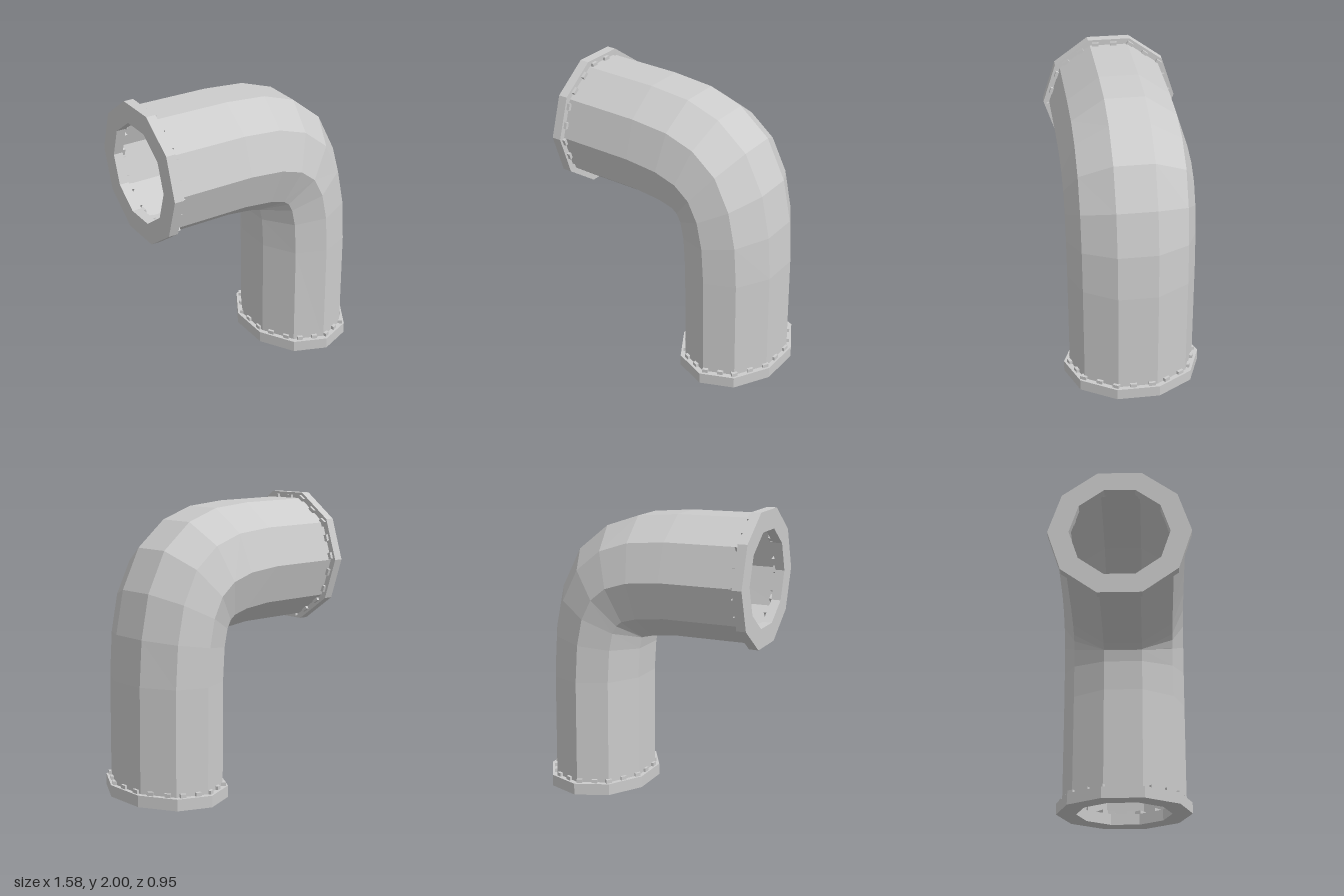
import * as THREE from 'three';

const SIDES = 10;
const PIPE_R = 0.435, FLANGE_R = 0.476, HOLE_R = 0.335;
const FLANGE_H = 0.08, BOLTS = 22;

const metal = new THREE.MeshStandardMaterial({ color: 0xcccccc, flatShading: true });
const sheet = new THREE.MeshStandardMaterial({ color: 0xcccccc, flatShading: true, side: THREE.DoubleSide });

// Corners of a decagon with points on the +y and -y axes of its plane
function decagon(r) {
  return Array.from({ length: SIDES }, (_, k) => {
    const a = Math.PI / 2 + (k * 2 * Math.PI) / SIDES;
    return new THREE.Vector2(r * Math.cos(a), r * Math.sin(a));
  });
}

// Bent pipe: each ring spans an outer and an inner point of the elbow [ox, oy, ix, iy]
function makePipe() {
  const rings = [
    [-0.76, 1.96, -0.76, 1.13],
    [-0.2, 1.955, -0.19, 1.13],
    [0.09, 1.93, -0.01, 1.11],
    [0.325, 1.85, 0.065, 1.092],
    [0.54, 1.675, 0.062, 1.095],
    [0.675, 1.405, 0.066, 1.09],
    [0.735, 1.11, 0.083, 1.01],
    [0.755, 0.8, 0.095, 0.8],
    [0.76, 0.04, 0.096, 0.04],
  ];
  const corner = (i, k) => {
    const [ox, oy, ix, iy] = rings[i];
    const a = Math.PI / 10 + (k * 2 * Math.PI) / SIDES;
    const t = 0.5 + 0.5 * Math.cos(a) / Math.cos(Math.PI / 10);
    return [ix + (ox - ix) * t, iy + (oy - iy) * t, PIPE_R * Math.sin(a)];
  };
  const pos = [];
  for (let i = 0; i < rings.length - 1; i++) {
    for (let k = 0; k < SIDES; k++) {
      const a = corner(i, k), b = corner(i, k + 1);
      const c = corner(i + 1, k + 1), d = corner(i + 1, k);
      pos.push(...a, ...b, ...d, ...b, ...c, ...d);
    }
  }
  const geo = new THREE.BufferGeometry();
  geo.setAttribute('position', new THREE.Float32BufferAttribute(pos, 3));
  geo.computeVertexNormals();
  const mesh = new THREE.Mesh(geo, sheet);
  mesh.name = 'bentPipe';
  return mesh;
}

// Ten-sided collar standing on its local y = 0, with bolts on its upper face
function makeFlange(name) {
  const group = new THREE.Group();
  group.name = name;

  const shape = new THREE.Shape(decagon(FLANGE_R));
  shape.holes.push(new THREE.Path(decagon(HOLE_R).reverse()));
  const geo = new THREE.ExtrudeGeometry(shape, { depth: FLANGE_H, bevelEnabled: false });
  geo.rotateX(-Math.PI / 2);
  const collar = new THREE.Mesh(geo, metal);
  collar.name = 'collar';
  group.add(collar);

  // Bolts spaced evenly along the decagon's edges, reaching through to the bore
  const pts = decagon(0.458);
  const inward = 0.115;
  const boltGeo = new THREE.BoxGeometry(0.046, 0.03, inward);
  boltGeo.translate(0, 0.01, -inward / 2);
  for (let n = 0; n < BOLTS; n++) {
    // start near the middle of the edge facing local +x
    const s = ((n + 0.25) / BOLTS) * SIDES + 7.5;
    const e = Math.floor(s) % SIDES;
    const p = pts[e].clone().lerp(pts[(e + 1) % SIDES], s - Math.floor(s));
    const a = Math.PI / 2 + ((e + 0.5) * 2 * Math.PI) / SIDES;
    const bolt = new THREE.Mesh(boltGeo, metal);
    bolt.name = 'bolt';
    bolt.position.set(p.x, FLANGE_H, -p.y);
    bolt.rotation.y = a + Math.PI / 2;
    group.add(bolt);
  }
  // Mirror the bolt pattern's offset toward +z
  group.children.slice(1).forEach((b) => {
    b.position.z *= -1;
    b.rotation.y = Math.PI - b.rotation.y;
  });
  return group;
}

export function createModel() {
  const model = new THREE.Group();
  model.name = 'pipeElbow';
  model.add(makePipe());

  // The lower end is narrower across x
  const lower = makeFlange('lowerFlange');
  lower.position.set(0.428, 0, 0);
  lower.scale.set(0.8, 1, 1);
  model.add(lower);

  // The upper end opens sideways, its collar a little thinner
  const upper = makeFlange('upperFlange');
  upper.rotation.z = -Math.PI / 2;
  upper.position.set(-0.79, 1.546, 0);
  upper.scale.set(1, 0.82, 1);
  model.add(upper);

  return model;
}
